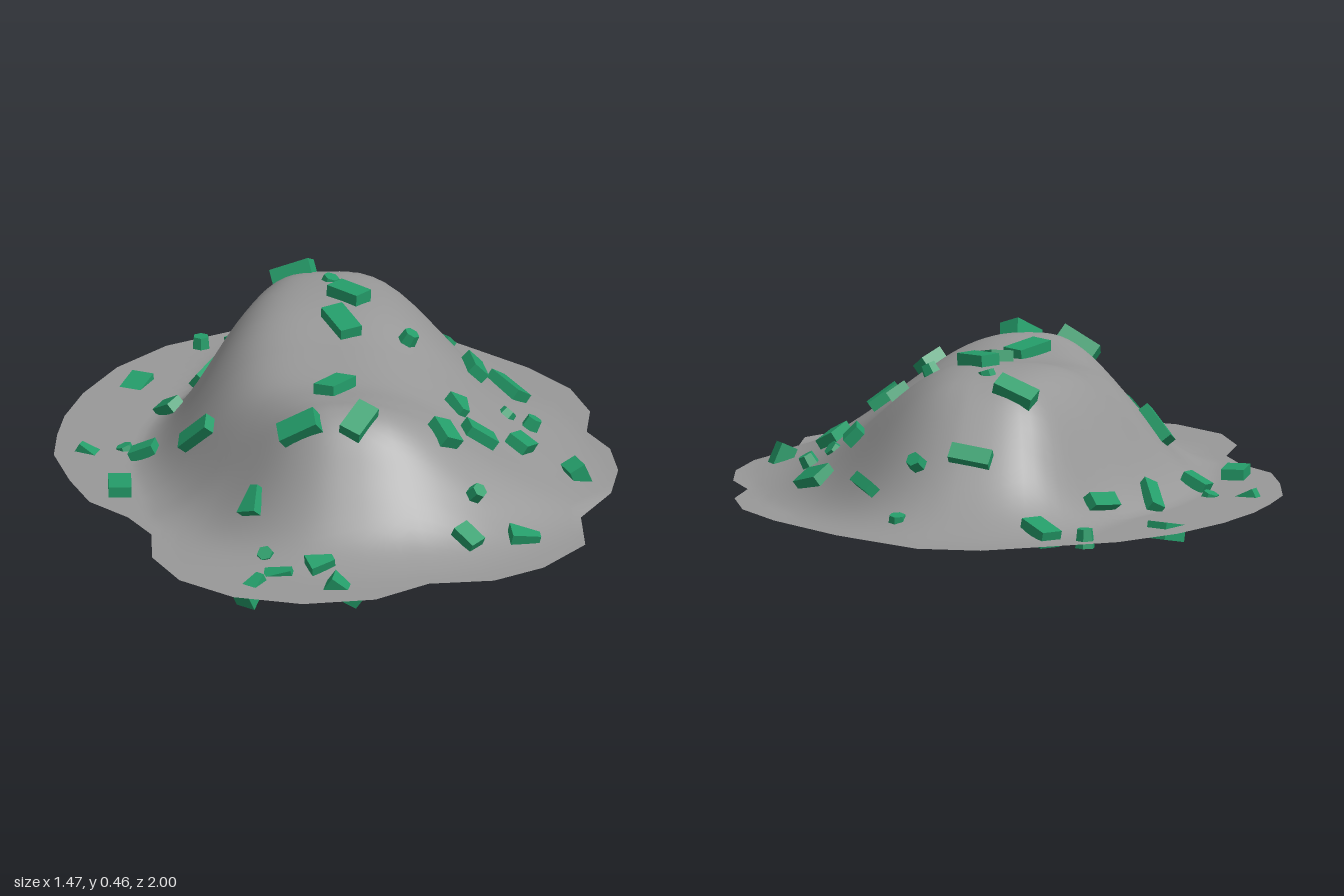
import * as THREE from 'three';
import { mergeVertices } from 'three/addons/utils/BufferGeometryUtils.js';

const BASE = 0.07;

// Rim of the ground sheet as x, z pairs, clockwise seen from above
const RIM = [
  [0.06, -1], [0.3, -0.84], [0.5, -0.65], [0.61, -0.5], [0.66, -0.34], [0.65, -0.2],
  [0.71, -0.08], [0.73, 0.07], [0.71, 0.23], [0.63, 0.4], [0.64, 0.59], [0.53, 0.75],
  [0.4, 0.84], [0.23, 0.86], [0.09, 0.97], [-0.1, 1], [-0.28, 0.95], [-0.42, 0.83],
  [-0.49, 0.67], [-0.49, 0.51], [-0.55, 0.39], [-0.65, 0.28], [-0.7, 0.13], [-0.74, -0.05],
  [-0.73, -0.19], [-0.71, -0.32], [-0.66, -0.48], [-0.57, -0.66], [-0.44, -0.81],
  [-0.27, -0.91], [-0.11, -1],
];

// Height of the ridge above the base, as z, height pairs
const CREST = [
  [-1, 0], [-0.9, 0.006], [-0.8, 0.035], [-0.7, 0.11], [-0.6, 0.23], [-0.5, 0.33], [-0.4, 0.355],
  [-0.2, 0.357], [0, 0.32], [0.2, 0.297], [0.35, 0.313], [0.45, 0.322], [0.52, 0.28],
  [0.6, 0.18], [0.7, 0.065], [0.8, 0.012], [0.9, 0], [1, 0],
];

// Half width of the mound on each flank at half height, as z, width pairs
const LEFT_WIDTH = [[-1, 0.2], [-0.6, 0.24], [-0.35, 0.31], [-0.1, 0.35], [0.15, 0.38], [0.35, 0.38], [0.5, 0.34], [0.7, 0.32], [1, 0.3]];
const RIGHT_WIDTH = [[-1, 0.2], [-0.5, 0.26], [-0.3, 0.32], [0, 0.36], [0.15, 0.35], [0.35, 0.28], [0.5, 0.23], [0.7, 0.22], [1, 0.22]];

// Smooth interpolation through a table of pairs
function sample(table, t) {
  const n = table.length - 1;
  let i = 0;
  while (i < n - 1 && t > table[i + 1][0]) i++;
  const slope = (k) => {
    const a = table[Math.max(k - 1, 0)], b = table[Math.min(k + 1, n)];
    return (b[1] - a[1]) / (b[0] - a[0]);
  };
  const [x0, y0] = table[i], [x1, y1] = table[i + 1];
  const h = x1 - x0, u = THREE.MathUtils.clamp((t - x0) / h, 0, 1), v = 1 - u;
  return y0 * (1 + 2 * u) * v * v + y1 * u * u * (3 - 2 * u)
    + h * u * v * (slope(i) * v - slope(i + 1) * u);
}

// Mound height: ridge line with rounded ends times a cross-section,
// sloping on the left, fuller on the right except towards the front
function heightAt(x, z) {
  const rightPower = 4.2 - 1.7 * THREE.MathUtils.smoothstep(z, 0.1, 0.45);
  const fall = x > 0
    ? Math.pow(x / sample(LEFT_WIDTH, z), 2.6)
    : Math.pow(-x / sample(RIGHT_WIDTH, z), rightPower);
  const section = Math.max(0, 1.03 * Math.exp(-Math.LN2 * fall) - 0.03);
  const along = z * (1 + 0.6 * (x - 0.05) ** 2);
  return BASE + Math.max(0, sample(CREST, along)) * section;
}

function normalAt(x, z) {
  const e = 0.02;
  return new THREE.Vector3(
    heightAt(x - e, z) - heightAt(x + e, z), 2 * e, heightAt(x, z - e) - heightAt(x, z + e),
  ).normalize();
}

// Open sheet built from rings shrinking from the rim to the middle
function moundGeometry() {
  const rings = 40, split = 4, count = RIM.length * split;
  const positions = [], index = [];
  for (let r = 0; r <= rings; r++) {
    for (let j = 0; j < count; j++) {
      const a = RIM[Math.floor(j / split)], b = RIM[(Math.floor(j / split) + 1) % RIM.length];
      const t = (j % split) / split, s = r / rings;
      const x = s * THREE.MathUtils.lerp(a[0], b[0], t);
      const z = s * THREE.MathUtils.lerp(a[1], b[1], t);
      positions.push(x, r === rings ? BASE : heightAt(x, z), z);
      if (r === rings) continue;
      const k = (j + 1) % count, p = r * count, q = p + count;
      if (r > 0) index.push(p + j, p + k, q + j);
      index.push(p + k, q + k, q + j);
    }
  }
  const geometry = new THREE.BufferGeometry();
  geometry.setAttribute('position', new THREE.Float32BufferAttribute(positions, 3));
  geometry.setIndex(index);
  const merged = mergeVertices(geometry);
  merged.computeVertexNormals();
  return merged;
}

// Block chips: x, z, length, width, turn in degrees, optional tilt in degrees
const BLOCKS = [
  [-0.23, -0.79, 0.1, 0.06, -45], [-0.02, -0.64, 0.11, 0.045, -8], [0.26, -0.6, 0.11, 0.03, -62],
  [-0.52, -0.55, 0.09, 0.06, 65, 12], [-0.33, -0.49, 0.11, 0.04, 60], [-0.11, -0.49, 0.11, 0.05, -15],
  [0.44, -0.35, 0.11, 0.06, -45], [-0.43, -0.3, 0.11, 0.04, -60], [0.03, -0.25, 0.1, 0.06, -40],
  [0.35, -0.25, 0.1, 0.05, -80], [0.01, -0.1, 0.12, 0.06, -65], [-0.5, -0.02, 0.07, 0.05, -15],
  [-0.57, 0.2, 0.1, 0.06, 90], [-0.36, 0.15, 0.11, 0.05, -18], [-0.01, 0.25, 0.12, 0.06, 60],
  [0.63, 0.15, 0.12, 0.06, 25, -52], [0.47, 0.11, 0.08, 0.06, 65], [0.36, 0.25, 0.09, 0.06, 15],
  [0.27, 0.41, 0.08, 0.06, -55], [-0.1, 0.48, 0.11, 0.06, 0], [0.05, 0.49, 0.1, 0.06, 60],
  [0.33, 0.65, 0.07, 0.05, -40],
];

// Wedge chips: x, z, length, turn, tilt
const WEDGES = [
  [-0.64, -0.07, 0.09, 160, 30], [-0.22, 0.55, 0.08, 60, 0], [0.48, 0.59, 0.08, 10, 0],
  [-0.17, 0.79, 0.1, -10, 15], [-0.05, 0.78, 0.07, 20, 0], [0.01, 0.88, 0.1, -10, -35],
  [-0.23, 0.86, 0.09, 50, 30], [0.31, 0.13, 0.06, -60, 0],
];

// Small round chips: x, z
const PEBBLES = [
  [-0.35, -0.8], [0.15, -0.77], [0.12, -0.64], [-0.02, -0.38], [0.18, -0.09], [0.43, -0.09],
  [0.5, -0.1], [-0.55, -0.09], [0.35, 0.52], [-0.19, 0.7],
];

// Box whose far end narrows
function wedgeGeometry() {
  const geometry = new THREE.BoxGeometry(1, 0.045, 0.06);
  const p = geometry.attributes.position;
  for (let i = 0; i < p.count; i++) {
    if (p.getX(i) > 0) p.setXYZ(i, p.getX(i), p.getY(i) * 0.7, p.getZ(i) * 0.4);
  }
  geometry.computeVertexNormals();
  return geometry;
}

export function createModel() {
  const model = new THREE.Group();
  const stone = new THREE.MeshStandardMaterial({ color: 0x989898, side: THREE.DoubleSide });
  const green = new THREE.MeshStandardMaterial({ color: 0x249c69, flatShading: true });

  const mound = new THREE.Mesh(moundGeometry(), stone);
  mound.name = 'mound';
  model.add(mound);

  const chips = new THREE.Group();
  chips.name = 'chips';
  model.add(chips);

  // Lay a chip half sunk on the slope
  const up = new THREE.Vector3(0, 1, 0);
  const place = (name, geometry, x, z, turn, tilt = 0) => {
    const chip = new THREE.Mesh(geometry, green);
    const normal = normalAt(x, z);
    chip.name = name;
    chip.position.set(x, heightAt(x, z), z).addScaledVector(normal, 0.006);
    if (tilt) chip.position.y -= 0.02;
    const spin = new THREE.Quaternion().setFromEuler(
      new THREE.Euler(0, THREE.MathUtils.degToRad(turn), THREE.MathUtils.degToRad(tilt), 'YXZ'));
    chip.quaternion.setFromUnitVectors(up, normal).multiply(spin);
    chips.add(chip);
    return chip;
  };

  for (const [x, z, length, width, turn, tilt] of BLOCKS) {
    place('blockChip', new THREE.BoxGeometry(length, 0.045, width), x, z, turn, tilt);
  }
  const wedge = wedgeGeometry();
  for (const [x, z, length, turn, tilt] of WEDGES) {
    place('wedgeChip', wedge, x, z, turn, tilt).scale.x = length;
  }
  const pebble = new THREE.CylinderGeometry(0.021, 0.027, 0.05, 6);
  PEBBLES.forEach(([x, z], i) => place('roundChip', pebble, x, z, i * 50, i % 2 ? 20 : 0));

  return model;
}
